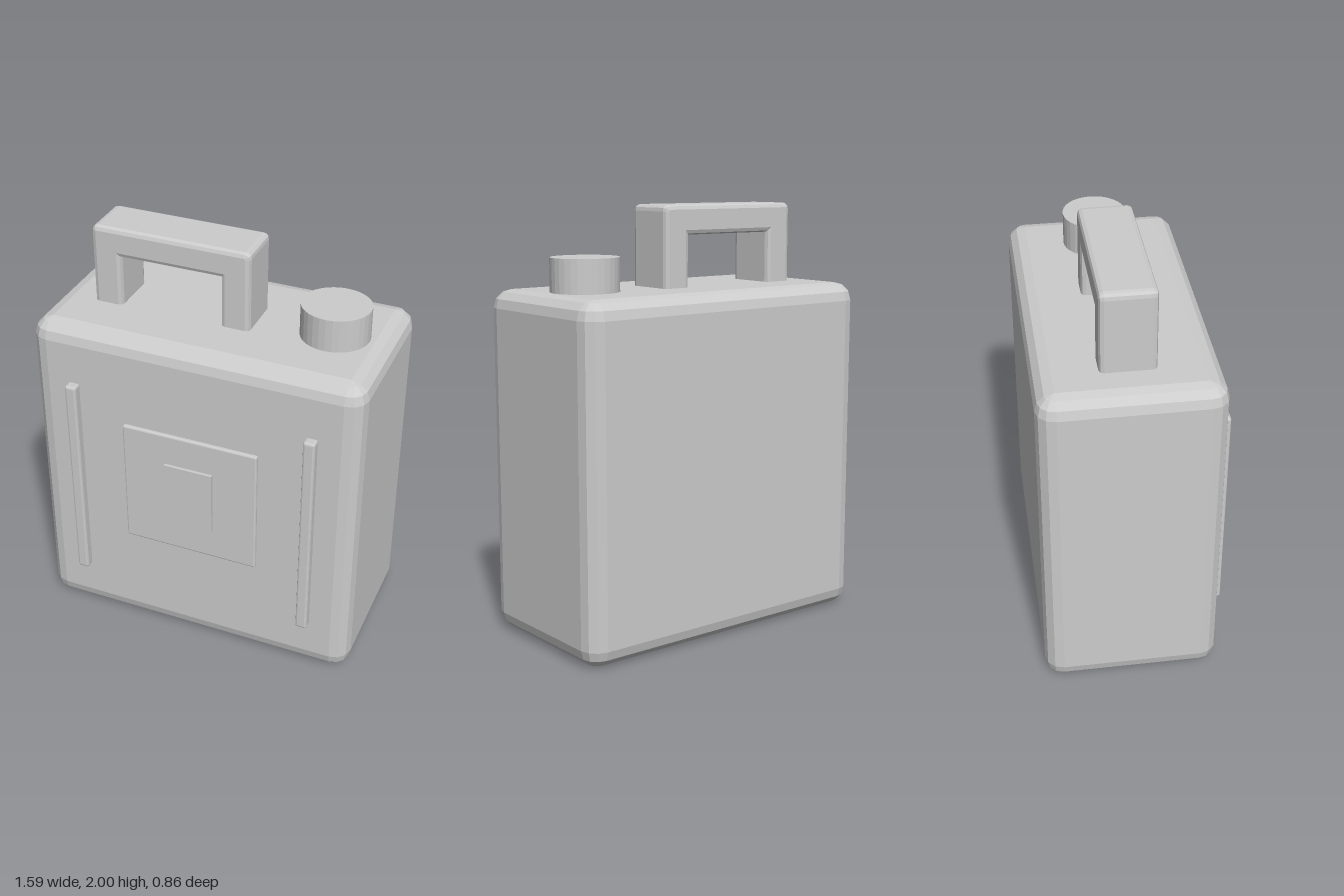
import * as THREE from 'three';
import { ConvexGeometry } from 'three/addons/geometries/ConvexGeometry.js';

const grey = new THREE.MeshStandardMaterial({ color: 0xcccccc });
grey.name = 'plain grey';

// Box between two corners with faceted round edges: the hull of eight sphere octants
function bevelBox(min, max, r, steps) {
  const points = [];
  const c = min.map((v, i) => (v + max[i]) / 2);
  const h = min.map((v, i) => (max[i] - v) / 2 - r);
  for (const sx of [-1, 1]) for (const sy of [-1, 1]) for (const sz of [-1, 1])
    for (let i = 0; i <= steps; i++) {
      const lat = (i / steps) * Math.PI / 2;
      const around = i === steps ? 0 : steps;
      for (let j = 0; j <= around; j++) {
        const lon = around ? (j / around) * Math.PI / 2 : 0;
        points.push(new THREE.Vector3(
          c[0] + sx * (h[0] + r * Math.cos(lat) * Math.cos(lon)),
          c[1] + sy * (h[1] + r * Math.sin(lat)),
          c[2] + sz * (h[2] + r * Math.cos(lat) * Math.sin(lon))));
      }
    }
  return new ConvexGeometry(points);
}

// Upside-down U with bevelled edges, its legs sunk into the body
function handleGeometry() {
  const [x0, x1, top, bottom, r, bevel] = [-0.6, 0.168, 2, 1.54, 0.03, 0.022];
  const [i0, i1, under] = [-0.458, 0.028, 1.862];
  const s = new THREE.Shape();
  s.moveTo(x0, bottom);
  s.lineTo(i0, bottom);
  s.lineTo(i0, under);
  s.lineTo(i1, under);
  s.lineTo(i1, bottom);
  s.lineTo(x1, bottom);
  s.lineTo(x1, top - r);
  s.quadraticCurveTo(x1, top, x1 - r, top);
  s.lineTo(x0 + r, top);
  s.quadraticCurveTo(x0, top, x0, top - r);
  s.closePath();
  const g = new THREE.ExtrudeGeometry(s, {
    depth: 0.25 - 2 * bevel, curveSegments: 3, bevelSegments: 2,
    bevelSize: bevel, bevelThickness: bevel, bevelOffset: -bevel,
  });
  return g.translate(0, 0, -0.148 + bevel);
}

export function createModel() {
  const model = new THREE.Group();
  model.name = 'fuelCan';
  const add = (name, geometry) => {
    const mesh = new THREE.Mesh(geometry, grey);
    mesh.name = name;
    model.add(mesh);
    return mesh;
  };

  add('body', bevelBox([-0.797, 0, -0.433], [0.797, 1.62, 0.387], 0.085, 3));
  add('handle', handleGeometry());

  // Slightly oval faceted cap
  const cap = new THREE.CylinderGeometry(0.16, 0.16, 0.195, 32).toNonIndexed();
  cap.scale(1, 1, 0.95);
  cap.computeVertexNormals();
  add('cap', cap).position.set(0.53, 1.678, -0.024);

  // Raised panels on the front
  add('frontPanel', bevelBox([-0.334, 0.533, 0.36], [0.33, 1.174, 0.405], 0.008, 2));
  add('frontBadge', new THREE.BoxGeometry(0.238, 0.328, 0.04)).position.set(-0.003, 0.853, 0.4);

  // Vertical ribs either side of the panel
  for (const [name, x] of [['rightRib', -0.582], ['leftRib', 0.577]])
    add(name, bevelBox([x - 0.028, 0.262, 0.36], [x + 0.028, 1.334, 0.43], 0.01, 2));

  return model;
}
